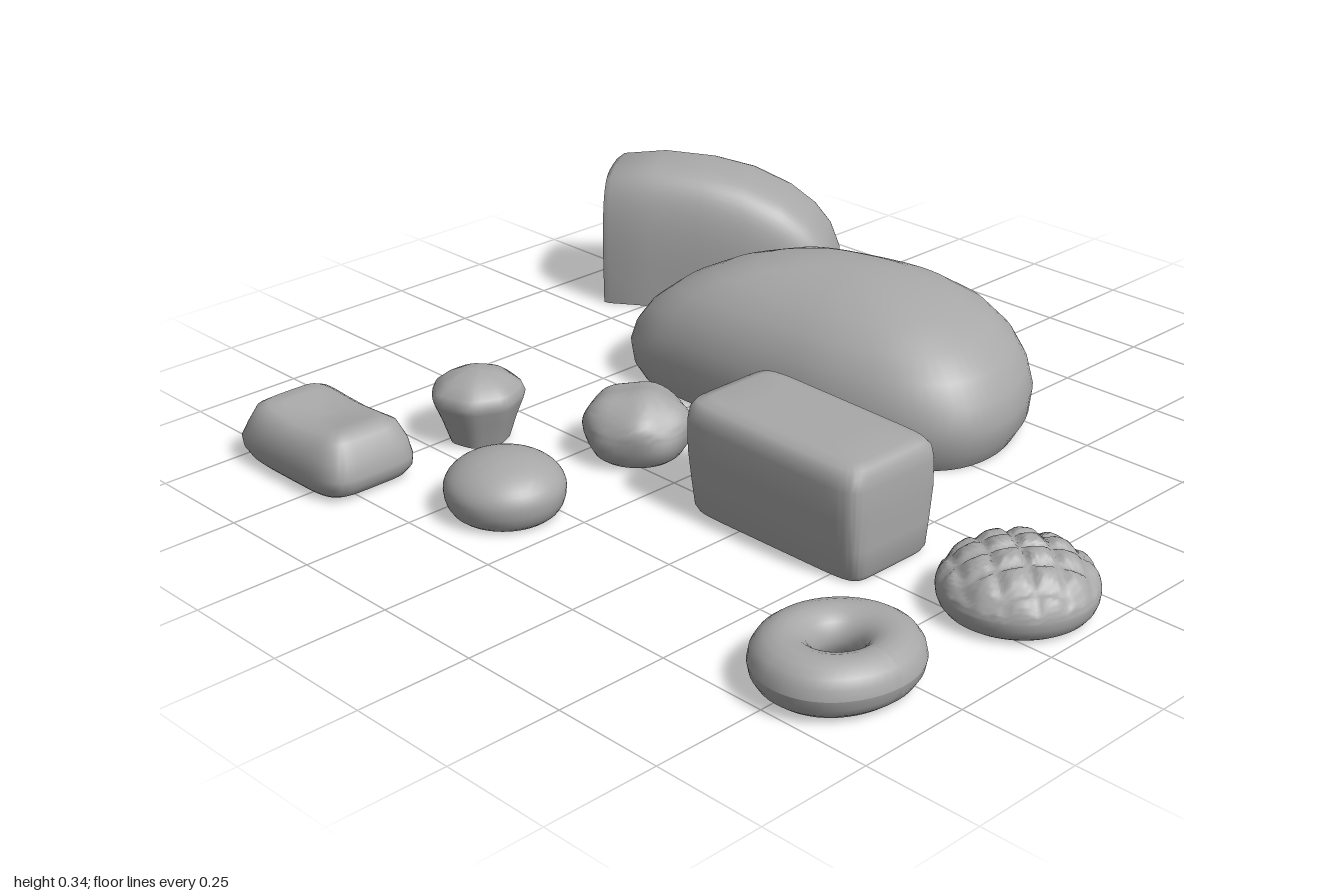
import * as THREE from 'three';
import { toCreasedNormals } from 'three/addons/utils/BufferGeometryUtils.js';

const crust = new THREE.MeshStandardMaterial({ color: 0xa8a8a8 });
crust.name = 'plain crust grey';

// Closed skin through a stack of equal-length rings, capped at both ends
function loft(name, rings, crease = 0.9) {
  const n = rings[0].length, pos = [], idx = [];
  for (const r of rings) for (const p of r) pos.push(p.x, p.y, p.z);
  for (let i = 0; i < rings.length - 1; i++) {
    for (let j = 0; j < n; j++) {
      const a = i * n + j, b = i * n + (j + 1) % n;
      idx.push(a, a + n, b, b, a + n, b + n);
    }
  }
  const cap = (r, flip) => {
    const c = new THREE.Vector3();
    rings[r].forEach(p => c.addScaledVector(p, 1 / n));
    const k = pos.length / 3;
    pos.push(c.x, c.y, c.z);
    for (let j = 0; j < n; j++) {
      const a = r * n + j, b = r * n + (j + 1) % n;
      idx.push(k, flip ? b : a, flip ? a : b);
    }
  };
  cap(0, false);
  cap(rings.length - 1, true);
  const g = new THREE.BufferGeometry();
  g.setAttribute('position', new THREE.Float32BufferAttribute(pos, 3));
  g.setIndex(idx);
  const mesh = new THREE.Mesh(toCreasedNormals(g, crease), crust);
  mesh.name = name;
  return mesh;
}

// Signed power, for superellipses
const spow = (v, e) => Math.sign(v) * Math.pow(Math.abs(v), e);
const oval = (rx, rz, n = 2) => t => {
  const a = t * Math.PI * 2;
  return [rx * spow(Math.cos(a), 2 / n), rz * spow(Math.sin(a), 2 / n)];
};

// Bun: a plan outline stacked by profile rows [scale x, y, scale z], then moved by a rule
function bun(name, [cx, cz], outline, profile, deform = () => {}, segs = 48) {
  const rings = profile.map(([sx, y, sz = sx]) => {
    const ring = [];
    for (let j = 0; j < segs; j++) {
      const [x, z] = outline(j / segs);
      const p = new THREE.Vector3(x * sx, y, z * sz);
      deform(p);
      ring.push(p);
    }
    return ring;
  });
  const mesh = loft(name, rings);
  mesh.position.set(cx, 0, cz);
  return mesh;
}

// Smooth dome profile: undercut base, widest at y = belly, closing at y = top
function dome(base, belly, top, steps) {
  const rows = [];
  for (let i = 0; i < 5; i++) {
    const t = i / 5;
    rows.push([base + (1 - base) * Math.sin(t * Math.PI / 2), belly * (1 - Math.cos(t * Math.PI / 2))]);
  }
  for (let i = 0; i < steps; i++) {
    const a = i / steps * Math.PI / 2;
    rows.push([Math.cos(a), belly + (top - belly) * Math.sin(a)]);
  }
  return rows;
}

export function createModel() {
  const group = new THREE.Group();
  group.name = 'breadAssortment';

  // Large lopsided loaf
  const plan = [[.42, -.3], [.4, -.2], [.32, -.12], [.15, -.06], [-.05, -.04], [-.3, -.03], [-.42, -.04],
    [-.5, -.09], [-.55, -.25], [-.53, -.33], [-.45, -.43], [-.35, -.52], [-.2, -.58], [.05, -.63],
    [.2, -.61], [.32, -.53], [.39, -.42]];
  const centre = [-0.06, -0.33];
  const curve = new THREE.CatmullRomCurve3(
    plan.map(([x, z]) => new THREE.Vector3(x - centre[0], 0, z - centre[1])), true);
  group.add(bun('largeLoaf', centre, t => { const p = curve.getPoint(t); return [p.x, p.z]; },
    [[.94, 0], [.985, .035], [1, .09], [.97, .14], [.9, .19], [.78, .235], [.6, .272], [.4, .295], [.2, .307], [.07, .31]],
    p => { p.y *= 1 - 0.15 * Math.max(0, (-0.2 - p.x) / 0.3); }, 64));

  // Half loaf with a flat cut face, swept along its length: [distance, half width, height]
  const axis = new THREE.Vector3(0.81, 0, -0.58).normalize();
  const side = new THREE.Vector3(0.58, 0, 0.81).normalize();
  const cut = new THREE.Vector3(-0.92, 0, -0.42);
  const sections = [[0, .138, .31], [.015, .144, .322], [.12, .147, .335], [.24, .15, .327], [.34, .15, .305],
    [.43, .143, .265], [.49, .13, .222], [.53, .112, .175], [.553, .09, .12], [.56, .07, .07]];
  group.add(loft('cutLoaf', sections.map(([u, w, h]) => {
    const ring = [];
    for (let j = 0; j <= 28; j++) {
      const a = j / 28 * Math.PI;
      const p = cut.clone().addScaledVector(axis, u).addScaledVector(side, w * spow(Math.cos(a), 0.55));
      p.y = h * spow(Math.max(0, Math.sin(a)), 0.55);
      ring.push(p);
    }
    return ring;
  })));

  // Tin loaf, slightly lower at its left end
  group.add(bun('tinLoaf', [0.336, 0.197], oval(0.238, 0.13, 9),
    [[.95, 0, .84], [.98, .012, .88], [.99, .07, .94], [1, .14, 1], [1, .205, 1], [.985, .232, .96],
      [.95, .246, .87], [.85, .252, .7], [.5, .253, .4], [.15, .253, .12]],
    p => { p.y *= 1 - 0.09 * (p.x + 0.2); }, 64));

  // Crosshatched bun: dome with diagonal grooves
  group.add(bun('crosshatchedBun', [0.835, 0.147], oval(0.157, 0.157), dome(0.78, 0.045, 0.138, 28), p => {
    const r = Math.hypot(p.x, p.z) / 0.157;
    const u = (p.x * 0.8 + p.z * 0.6), v = (p.z * 0.8 - p.x * 0.6);
    const groove = Math.max(Math.abs(Math.cos(u * 52)) ** 6, Math.abs(Math.cos(v * 52)) ** 6);
    if (p.y > 0.05) p.y -= 0.013 * groove * Math.min(1, (p.y - 0.05) / 0.03) * (1.1 - 0.3 * r);
  }, 96));

  // Oval ring doughnut
  const ring = new THREE.TorusGeometry(0.105, 0.06, 18, 48);
  ring.rotateX(Math.PI / 2).scale(0.94, 0.9, 1.06).translate(0, 0.054, 0);
  const rp = ring.attributes.position;
  for (let i = 0; i < rp.count; i++) {
    const x = rp.getX(i), z = rp.getZ(i);
    rp.setY(i, Math.max(0, rp.getY(i) * (1 + 0.5 * z) - 0.004));
    rp.setX(i, x + 0.06 * z * Math.abs(z) * 4 * (x > 0 ? 1 : 0.3));
  }
  ring.computeVertexNormals();
  const doughnut = new THREE.Mesh(ring, crust);
  doughnut.name = 'doughnut';
  doughnut.position.set(0.774, 0, 0.578);
  group.add(doughnut);

  // Round bun
  group.add(bun('roundBun', [-0.155, 0.575], oval(0.128, 0.124), dome(0.72, 0.055, 0.128, 12)));

  // Lumpy bun
  group.add(bun('lumpyBun', [-0.16, 0.205], oval(0.116, 0.116), dome(0.6, 0.07, 0.15, 16), p => {
    const a = Math.atan2(p.z, p.x), r = Math.hypot(p.x, p.z) / 0.116;
    const k = 1 + 0.04 * r * Math.sin(a * 5 + 0.5) * Math.sin(p.y * 40) + 0.03 * r * Math.cos(a * 2 + 0.6);
    p.x *= k;
    p.z *= k;
    p.y += p.y > 0.07 ? 0.005 * Math.sin(p.x * 45) * Math.cos(p.z * 40) : 0;
  }));

  // Muffin: tapered cup with a peaked top
  group.add(bun('muffin', [-0.465, 0.39], oval(0.1, 0.1),
    [[.64, 0], [.68, .012], [.82, .055], [.96, .09], [1, .105], [.93, .122], [.7, .14], [.4, .154], [.12, .16]],
    p => {
      const a = Math.atan2(p.z, p.x);
      const k = 1 + 0.025 * Math.cos(a * 7);
      p.x *= k;
      p.z *= k;
    }, 42));

  // Flat slab roll with a dipped top
  group.add(bun('slabRoll', [-0.58, 0.708], oval(0.186, 0.118, 5),
    [[.8, 0, .82], [.9, .01, .9], [.99, .03, .98], [1, .05, 1], [.95, .085, .95], [.84, .118, .82],
      [.72, .131, .66], [.55, .133, .45], [.3, .129, .25], [.1, .127, .08]],
    p => {
      if (p.y > 0.1) p.y += 0.012 * Math.min(1, (p.x / 0.13) ** 2) - 0.008;
      p.x += 0.012 * (p.y > 0.06 ? 1 : 0) * (p.x < 0 ? 1 : 0);
    }, 56));

  return group;
}
